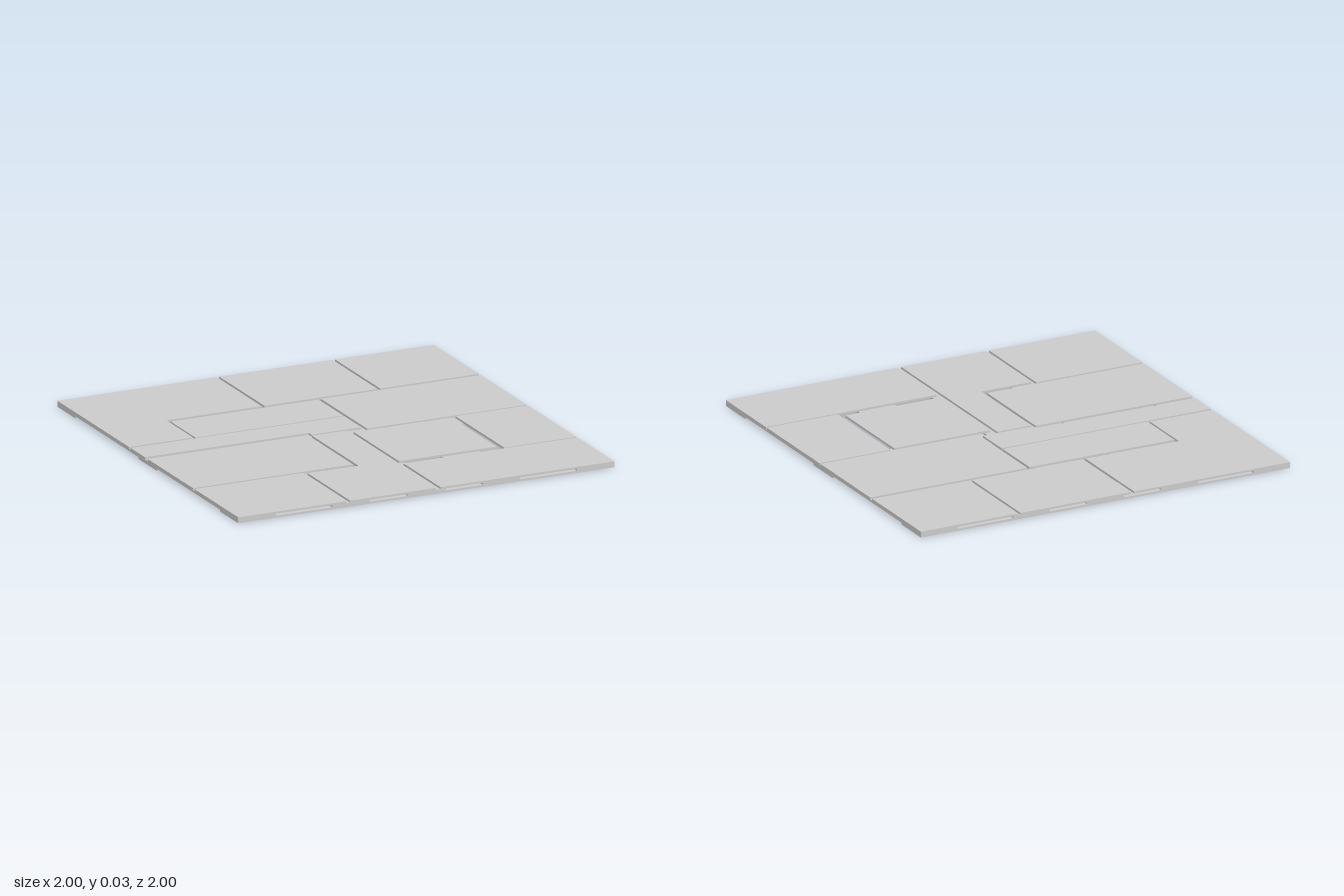
import * as THREE from 'three';

const T = 0.01; // thickness of every layer

export function createModel() {
  const model = new THREE.Group();
  const material = new THREE.MeshStandardMaterial({ color: 0xcccccc, flatShading: true });

  function board(name, width, depth, x, y, z) {
    const mesh = new THREE.Mesh(new THREE.BoxGeometry(width, T, depth), material);
    mesh.name = name;
    mesh.position.set(x, y + T / 2, z);
    model.add(mesh);
  }

  // Flat slab from an outline of [x, z] corners
  function slab(name, corners) {
    const shape = new THREE.Shape(corners.map(([x, z]) => new THREE.Vector2(x, -z)));
    const geometry = new THREE.ExtrudeGeometry(shape, { depth: T, bevelEnabled: false });
    geometry.rotateX(-Math.PI / 2);
    const mesh = new THREE.Mesh(geometry, material);
    mesh.name = name;
    mesh.position.y = 2 * T;
    model.add(mesh);
  }

  // Bottom runners, side to side
  for (const z of [-0.9, 0, 0.9]) board('bottomRunner', 2, 0.2, 0, 0, z);

  // Cross boards, front to back
  for (const x of [-0.9, -0.4, 0, 0.4, 0.9]) board('crossBoard', 0.2, 2, x, T, 0);

  // Rectangular paving slabs: x0, z0, x1, z1
  const rectangles = [
    [-0.14, -1, 0.46, -0.5],
    [0.475, -1, 1, -0.5],
    [-0.65, -0.475, 0.135, -0.2],
    [0.15, -0.48, 1, 0.03],
    [-1, 0, -0.15, 0.5],
    [0.07, 0.05, 0.59, 0.55],
    [0.615, 0.04, 1, 0.58],
    [0.075, 0.59, 1, 1],
    [-1, 0.515, -0.425, 1],
  ];
  for (const [x0, z0, x1, z1] of rectangles) {
    slab('pavingSlab', [[x0, z0], [x0, z1], [x1, z1], [x1, z0]]);
  }

  // L-shaped paving slabs
  slab('backCornerSlab', [[-1, -1], [-1, -0.205], [-0.66, -0.205], [-0.66, -0.5], [-0.155, -0.5], [-0.155, -1]]);
  slab('narrowSlab', [[-1, -0.19], [-1, -0.03], [-0.13, -0.03], [-0.13, 0], [0.135, 0], [0.135, -0.19]]);
  slab('frontNotchedSlab', [[-0.135, 0.015], [-0.135, 0.53], [-0.405, 0.53], [-0.405, 1], [0.05, 1], [0.05, 0.015]]);

  return model;
}
